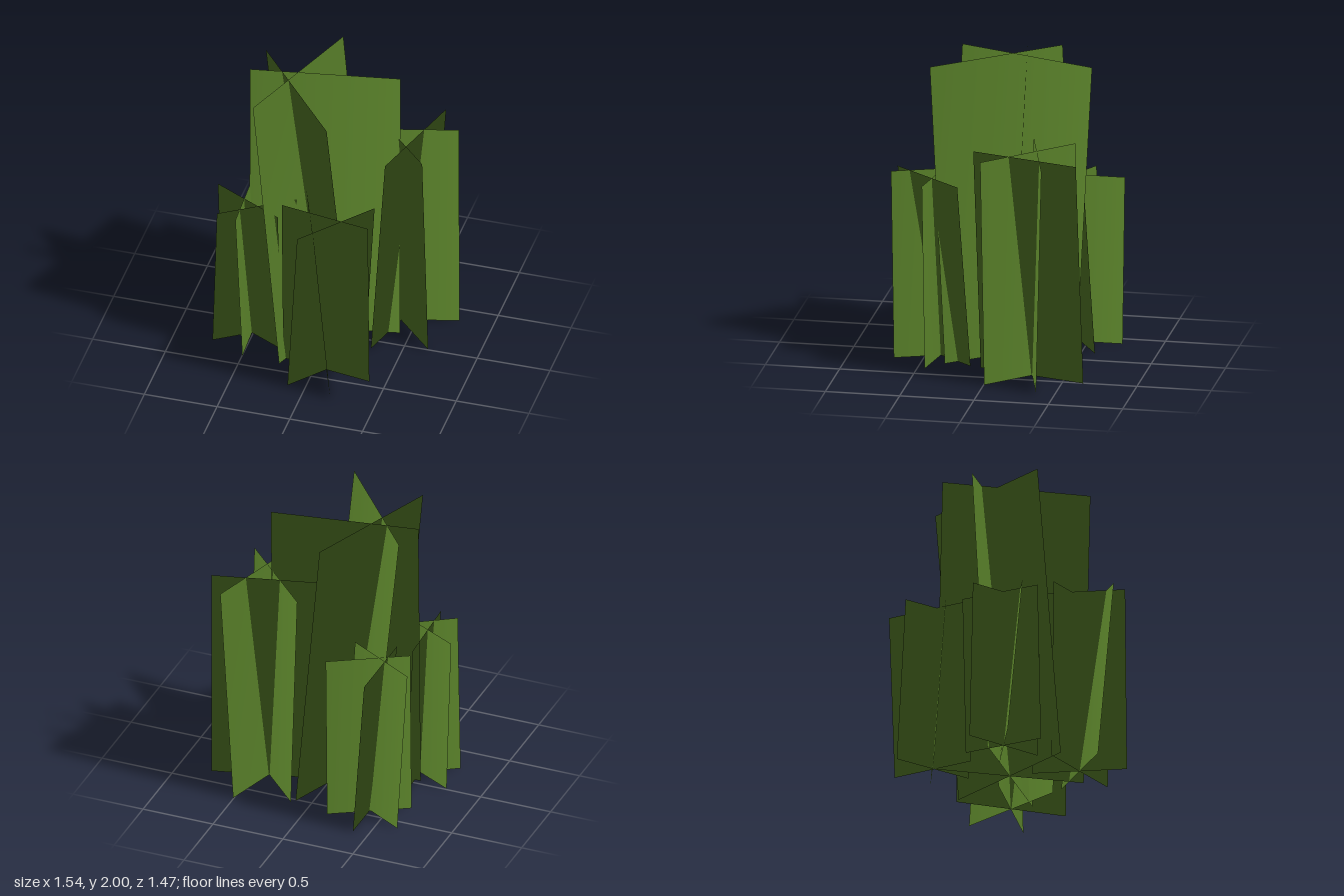
import * as THREE from 'three';

const leafGreen = new THREE.MeshStandardMaterial({ color: 0x4d7023, side: THREE.DoubleSide });
leafGreen.name = 'leafGreen';

// Each blade card: top corner x,z; other top corner x,z; shift from top edge to foot x,z
const clumps = [
  { name: 'tallClump', height: 2.0, cards: [
    [-0.44, 0.355, -0.09, -0.585, 0.2, 0.07],
    [-0.58, -0.06, 0.405, -0.23, 0.025, 0.1],
    [-0.54, -0.3, 0.1, 0.47, 0.155, -0.13],
  ] },
  { name: 'leftClump', height: 1.53, cards: [
    [0.61, -0.61, 0.4, 0.12, -0.105, -0.03],
    [0.757, -0.407, 0.02, -0.214, 0.013, 0.034],
    [0.1, -0.51, 0.63, 0.03, 0.032, -0.033],
  ] },
  { name: 'frontClump', height: 1.26, cards: [
    [0.362, 0.235, -0.033, 0.712, -0.087, -0.072],
    [0.09, 0.733, -0.134, 0.143, 0.1, -0.038],
    [-0.237, 0.37, 0.384, 0.47, 0.004, -0.02],
  ] },
  { name: 'backClump', height: 1.13, cards: [
    [-0.47, -0.733, -0.47, -0.168, 0.08, 0],
    [-0.683, -0.5, -0.193, -0.22, 0.037, -0.085],
    [-0.11, -0.527, -0.597, -0.243, -0.037, -0.066],
  ] },
  { name: 'rightClump', height: 1.1, cards: [
    [-0.57, -0.136, -0.545, 0.41, 0.048, 0],
    [-0.683, 0.37, -0.223, 0.07, -0.054, -0.082],
    [-0.77, 0.045, -0.285, 0.3, 0.018, -0.035],
  ] },
];

// One leaning card, with dome-like normals that spread gently from the clump's middle
function bladeCard([ax, az, bx, bz, ox, oz], height, cx, cz, radius) {
  const corners = [
    [ax + ox, 0, az + oz], [bx + ox, 0, bz + oz],
    [bx, height, bz], [ax, height, az],
  ];
  // The front of the card is its upper side, which faces its foot
  const facesFoot = (az - bz) * ox + (bx - ax) * oz > 0;
  const normals = corners.map(([x, , z]) =>
    new THREE.Vector3((x - cx) / radius * 0.25, 1, (z - cz) / radius * 0.25).normalize().toArray());
  const geometry = new THREE.BufferGeometry();
  geometry.setAttribute('position', new THREE.Float32BufferAttribute(corners.flat(), 3));
  geometry.setAttribute('normal', new THREE.Float32BufferAttribute(normals.flat(), 3));
  geometry.setIndex(facesFoot ? [0, 1, 2, 0, 2, 3] : [0, 2, 1, 0, 3, 2]);
  return geometry;
}

export function createModel() {
  const model = new THREE.Group();
  model.name = 'grassTuft';
  for (const { name, height, cards } of clumps) {
    const clump = new THREE.Group();
    clump.name = name;
    // Middle and half-width of the clump
    let cx = 0, cz = 0;
    for (const [ax, az, bx, bz, ox, oz] of cards) {
      cx += (ax + bx + ox) / 2 / cards.length;
      cz += (az + bz + oz) / 2 / cards.length;
    }
    const [ax, az, bx, bz] = cards[0];
    const radius = Math.hypot(bx - ax, bz - az) / 2;
    cards.forEach((card, i) => {
      const mesh = new THREE.Mesh(bladeCard(card, height, cx, cz, radius), leafGreen);
      mesh.name = `bladeCard${i + 1}`;
      clump.add(mesh);
    });
    model.add(clump);
  }
  return model;
}
